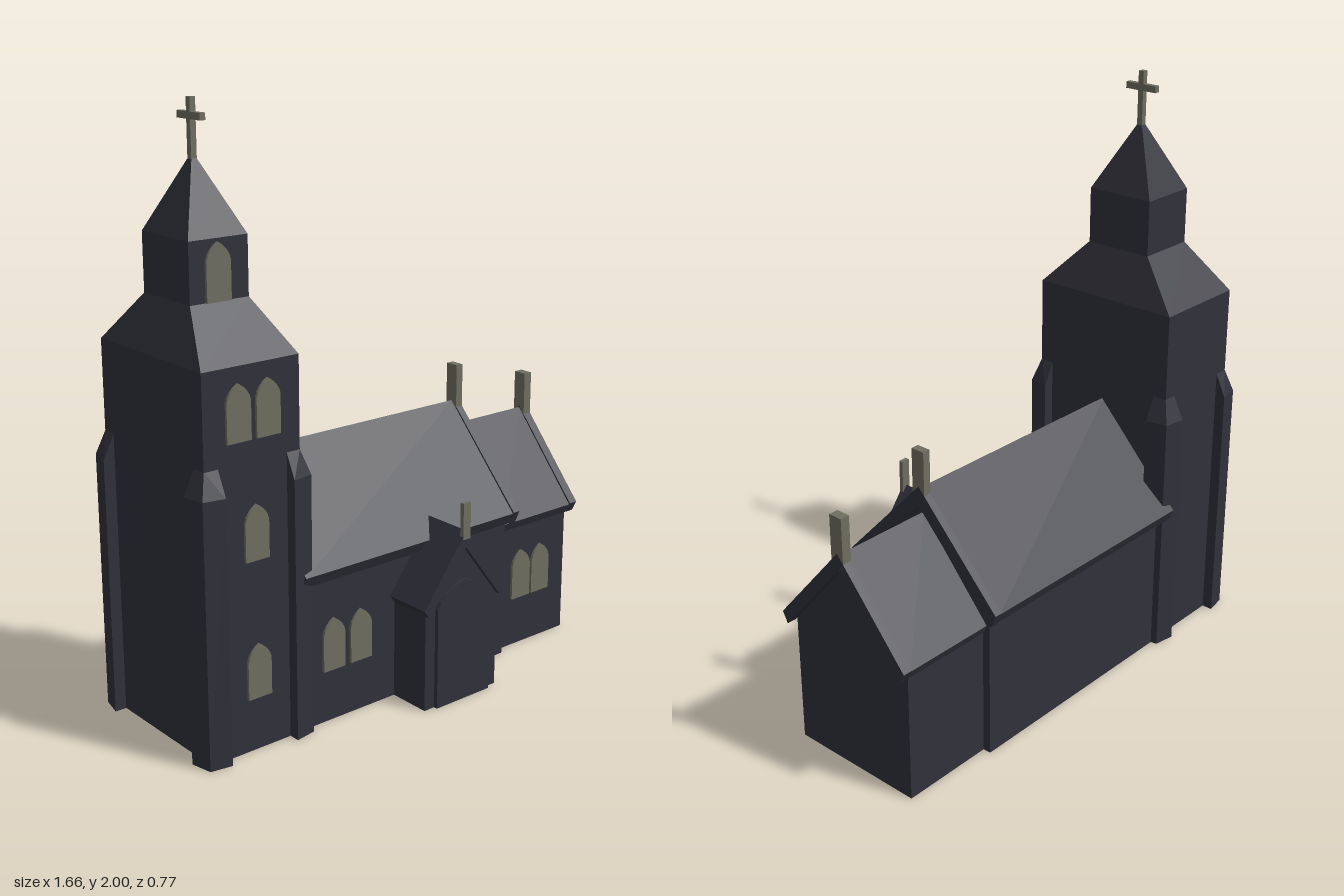
import * as THREE from 'three';

const stone = new THREE.MeshStandardMaterial({ color: 0x30313a });
stone.name = 'dark slate';
const pale = new THREE.MeshStandardMaterial({ color: 0x6f6e61 });
pale.name = 'pale stone';

// Closed solid from a stack of horizontal rings of [x, y, z]
function loft(rings) {
  const v = [], n = rings[0].length;
  for (let r = 0; r < rings.length - 1; r++) {
    for (let i = 0; i < n; i++) {
      const j = (i + 1) % n, lo = rings[r], hi = rings[r + 1];
      v.push(...lo[i], ...lo[j], ...hi[j], ...lo[i], ...hi[j], ...hi[i]);
    }
  }
  const bottom = rings[0], top = rings[rings.length - 1];
  for (let i = 1; i < n - 1; i++) {
    v.push(...top[0], ...top[i], ...top[i + 1]);
    v.push(...bottom[0], ...bottom[i + 1], ...bottom[i]);
  }
  const g = new THREE.BufferGeometry();
  g.setAttribute('position', new THREE.Float32BufferAttribute(v, 3));
  g.computeVertexNormals();
  return g;
}

const polygon = (pts) => new THREE.Shape(pts.map(([x, y]) => new THREE.Vector2(x, y)));
const extrude = (shape, depth) =>
  new THREE.ExtrudeGeometry(shape, { depth, bevelEnabled: false, curveSegments: 4 });

// Roof profile: two sloping slabs meeting at a ridge
function roofShape(half, eave, ridge, inset, drop) {
  const inner = eave - drop + (half - inset) * (ridge - eave) / half;
  return polygon([[-half, eave], [-half + inset, eave - drop], [0, inner],
    [half - inset, eave - drop], [half, eave], [0, ridge]]);
}

const gableShape = (half, wall, peak) =>
  polygon([[-half, 0], [half, 0], [half, wall], [0, peak], [-half, wall]]);

// Pointed arch standing on y = 0
function archShape(w, spring, h) {
  const s = new THREE.Shape();
  s.moveTo(-w / 2, 0);
  s.lineTo(w / 2, 0);
  s.lineTo(w / 2, spring);
  s.quadraticCurveTo(w * 0.42, spring + (h - spring) * 0.6, 0, h);
  s.quadraticCurveTo(-w * 0.42, spring + (h - spring) * 0.6, -w / 2, spring);
  return s;
}

export function createModel() {
  const model = new THREE.Group();
  model.name = 'church';
  const add = (name, geo, mat, x = 0, y = 0, z = 0, parent = model) => {
    const m = new THREE.Mesh(geo, mat);
    m.name = name;
    m.position.set(x, y, z);
    parent.add(m);
    return m;
  };
  const box = (name, mat, x0, x1, y0, y1, z0, z1) =>
    add(name, new THREE.BoxGeometry(x1 - x0, y1 - y0, z1 - z0), mat,
      (x0 + x1) / 2, (y0 + y1) / 2, (z0 + z1) / 2);
  const MID = -0.063;
  const alongX = (name, shape, x0, x1) => {
    add(name, extrude(shape, x1 - x0), stone, x0, 0, MID).rotation.y = Math.PI / 2;
  };

  // Tower: shaft, sloped shoulder, belfry and spire
  const TX = -0.615, HX = 0.176, HZ = 0.275;
  const rect = ([y, hx, hz]) => [[-hx, y, hz], [hx, y, hz], [hx, y, -hz], [-hx, y, -hz]];
  add('tower', loft([[0, HX, HZ], [1.25, HX, HZ], [1.41, 0.106, 0.124],
    [1.6, 0.106, 0.124], [1.83, 0.005, 0.005]].map(rect)), stone, TX, 0, -0.06);

  // Corner buttresses with sloping tops
  const outline = [[0, 0, 0.95], [-0.05, 0, 0.95], [-0.05, 0.038, 0.87],
    [0.024, 0.025, 0.87], [0.04, -0.05, 0.87], [0, -0.05, 0.95]];
  for (const sx of [-1, 1]) {
    for (const sz of [-1, 1]) {
      const pts = sx * sz > 0 ? outline : [outline[0], ...outline.slice(1).reverse()];
      const ring = (top) => pts.map(([u, w, h]) => [sx * u, top ? h : 0, sz * w]);
      add('buttress', loft([ring(false), ring(true)]), stone,
        TX + sx * HX, 0, -0.06 + sz * HZ);
    }
  }

  // Spire cross
  box('crossPost', pale, TX - 0.01, TX + 0.01, 1.815, 2, -0.07, -0.05);
  box('crossArm', pale, TX - 0.01, TX + 0.01, 1.935, 1.957, -0.12, 0);

  // Nave
  alongX('naveWalls', gableShape(0.275, 0.535, 0.83), -0.46, 0.457);
  alongX('naveRoof', roofShape(0.318, 0.54, 0.878, 0.015, 0.038), -0.45, 0.455);
  alongX('naveGableTrim', roofShape(0.322, 0.545, 0.885, 0.02, 0.048), 0.453, 0.48);

  // Chancel
  alongX('chancelWalls', gableShape(0.247, 0.46, 0.74), 0.44, 0.79);
  alongX('chancelRoof', roofShape(0.266, 0.48, 0.788, 0.012, 0.03), 0.46, 0.797);
  alongX('chancelGableTrim', roofShape(0.27, 0.485, 0.795, 0.02, 0.038), 0.795, 0.828);

  // Ridge finials
  box('naveFinial', pale, 0.452, 0.48, 0.83, 1.01, -0.088, -0.038);
  box('chancelFinial', pale, 0.795, 0.828, 0.74, 0.92, -0.088, -0.038);
  box('porchFinial', pale, 0.095, 0.127, 0.57, 0.695, 0.368, 0.383);

  // Porch
  add('porchWalls', extrude(gableShape(0.16, 0.345, 0.545), 0.215), stone, 0.11, 0, 0.15);
  add('porchRoof', extrude(roofShape(0.18, 0.365, 0.6, 0.022, 0.03), 0.245), stone, 0.11, 0, 0.137);
  add('porchDoor', extrude(archShape(0.235, 0.35, 0.43), 0.017), stone, 0.11, 0, 0.362);

  // Windows: centre x, sill y, wall z
  const windowGeo = extrude(archShape(0.088, 0.125, 0.18), 0.009);
  const windows = [
    [-0.61, 0.18, 0.216], [-0.61, 0.635, 0.216],
    [-0.668, 1.02, 0.216], [-0.56, 1.02, 0.216], [-0.622, 1.41, 0.065],
    [-0.312, 0.18, 0.213], [-0.2, 0.18, 0.213], [0.366, 0.18, 0.213],
    [0.565, 0.18, 0.185], [0.662, 0.18, 0.185],
  ];
  for (const [x, y, z] of windows) add('window', windowGeo, pale, x, y, z);

  return model;
}
